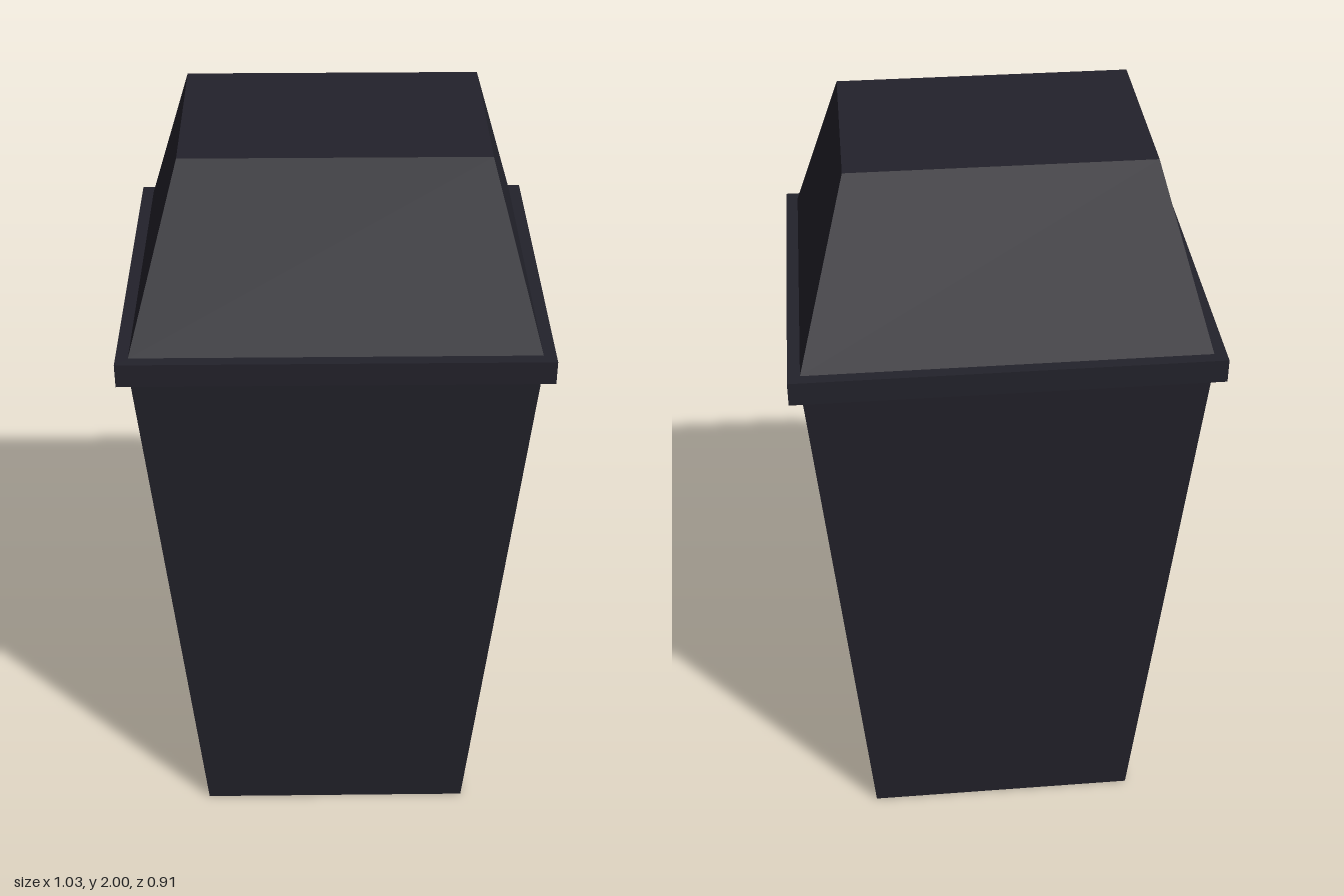
import * as THREE from 'three';

// Four-sided block whose top and bottom half-sizes differ
function taperedBlock(name, y0, y1, bottom, top, material) {
  const geometry = new THREE.BoxGeometry(2, y1 - y0, 2);
  geometry.translate(0, (y0 + y1) / 2, 0);
  const p = geometry.attributes.position;
  const middle = (y0 + y1) / 2;
  for (let i = 0; i < p.count; i++) {
    const [hx, hz] = p.getY(i) > middle ? top : bottom;
    p.setX(i, p.getX(i) * hx);
    p.setZ(i, p.getZ(i) * hz);
  }
  geometry.computeVertexNormals();
  const mesh = new THREE.Mesh(geometry, material);
  mesh.name = name;
  return mesh;
}

export function createModel() {
  const group = new THREE.Group();
  group.name = 'litterBin';
  const plastic = new THREE.MeshStandardMaterial({ color: 0x23222b });
  plastic.name = 'dark plastic';

  const mouth = [0.485, 0.425];
  const rimSize = [0.515, 0.455];
  group.add(
    // Bin widening upwards
    taperedBlock('binBody', 0, 1.52, [0.365, 0.305], mouth, plastic),
    // Projecting rim
    taperedBlock('rim', 1.52, 1.58, rimSize, rimSize, plastic),
    // Hood narrowing to a flat top
    taperedBlock('lid', 1.58, 2, mouth, [0.362, 0.242], plastic)
  );
  return group;
}
